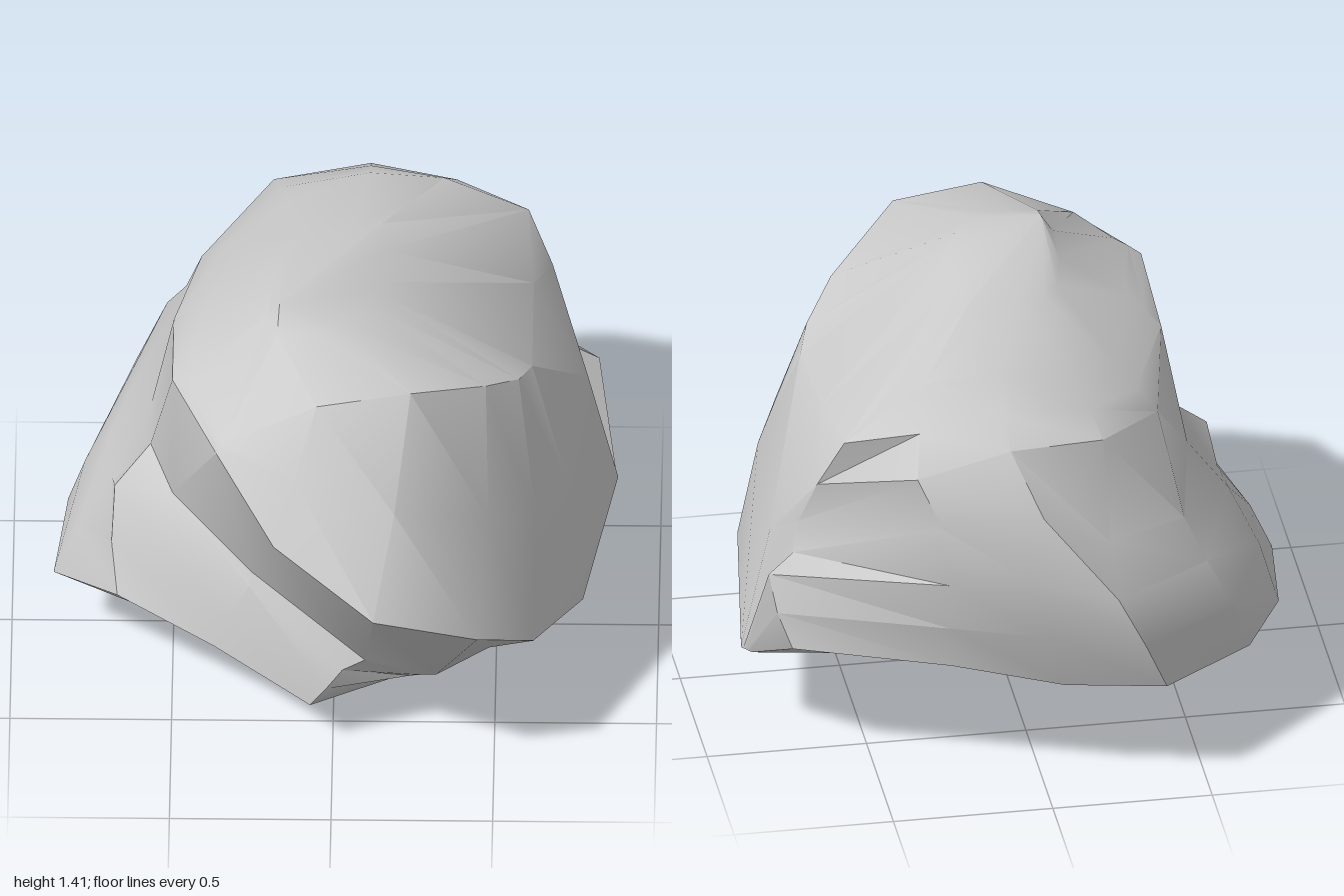
import * as THREE from 'three';
import { toCreasedNormals } from 'three/addons/utils/BufferGeometryUtils.js';

// Each loop runs from the front past +x, the back and -x, following a ridge or crease.
const crown = [
  [0.24, 1.32, 0.55], [0.47, 1.19, 0.34], [0.57, 1.11, 0.2], [0.61, 1.07, 0.08], [0.61, 1.1, -0.3],
  [0.59, 1.14, -0.62], [0.33, 1.3, -0.57], [0.1, 1.31, -0.58], [-0.15, 1.25, -0.52], [-0.3, 1.2, -0.36],
  [-0.4, 1.23, 0], [-0.42, 1.23, 0.36], [-0.34, 1.18, 0.63], [-0.05, 1.32, 0.62],
];
const upperRidge = [
  [0.13, 0.77, 1], [0.45, 0.6, 0.86], [0.62, 0.39, 0.59], [0.77, 0.33, 0.3], [0.87, 0.3, -0.36],
  [0.71, 0.8, -0.48], [0.39, 1.09, -0.8], [0.1, 1.17, -0.81], [-0.2, 1.15, -0.75], [-0.42, 1.07, -0.46],
  [-0.5, 1.14, -0.05], [-0.5, 1.19, 0.32], [-0.36, 1.15, 0.64], [-0.18, 0.94, 0.84],
];
const recess = [
  [0.1, 0.34, 0.63], [0.32, 0.27, 0.61], [0.48, 0.2, 0.38], [0.68, 0.25, 0.12], [0.865, 0.3, -0.37],
  [0.73, 0.7, -0.5], [0.32, 0.94, -0.86], [0.01, 0.97, -0.9], [-0.21, 0.83, -0.83], [-0.47, 0.8, -0.66],
  [-0.57, 0.76, -0.12], [-0.57, 0.77, 0.1], [-0.5, 0.71, 0.27], [-0.25, 0.57, 0.49],
];
const lowerRim = [
  [0.03, 0.3, 0.63], [0.27, 0.23, 0.56], [0.46, 0.17, 0.34], [0.66, 0.23, 0.1], [0.855, 0.3, -0.38],
  [0.81, 0.64, -0.52], [0.3, 0.74, -0.86], [0.05, 0.77, -0.94], [-0.21, 0.71, -0.985], [-0.53, 0.68, -0.73],
  [-0.69, 0.62, -0.18], [-0.69, 0.58, 0.03], [-0.68, 0.66, 0.17], [-0.26, 0.54, 0.52],
];
const base = [
  [-0.07, 0.17, 0.64], [0.21, 0.19, 0.51], [0.42, 0.12, 0.3], [0.63, 0.21, 0.06], [0.84, 0.3, -0.4],
  [0.75, 0.42, -0.61], [0.28, 0.41, -0.78], [-0.06, 0.36, -0.87], [-0.37, 0.36, -0.93], [-0.68, 0.31, -0.63],
  [-0.83, 0.26, -0.28], [-0.87, 0.25, 0.08], [-0.67, 0.37, 0.35], [-0.37, 0.29, 0.5],
];

// Loop halfway between two others, pushed outward more where they lie further apart.
const between = (a, b) => a.map((p, i) => {
  const q = b[i];
  const bulge = 1 + 0.06 * Math.hypot(p[0] - q[0], p[1] - q[1], p[2] - q[2]);
  return [(p[0] + q[0]) / 2 * bulge, (p[1] + q[1]) / 2, (p[2] + q[2]) / 2 * bulge];
});

// Skin of triangles over the loops, listed from top to bottom.
function skin(loops) {
  const positions = [];
  const triangle = (a, b, c) => {
    if (a !== b && b !== c && a !== c) positions.push(...a, ...b, ...c);
  };
  for (let i = 0; i < loops.length - 1; i++) {
    const up = loops[i], down = loops[i + 1], n = up.length;
    for (let j = 0; j < n; j++) {
      const k = (j + 1) % n;
      triangle(up[j], down[j], down[k]);
      triangle(up[j], down[k], up[k]);
    }
  }
  const geometry = new THREE.BufferGeometry();
  geometry.setAttribute('position', new THREE.Float32BufferAttribute(positions, 3));
  return toCreasedNormals(geometry, THREE.MathUtils.degToRad(36));
}

export function createModel() {
  const group = new THREE.Group();
  group.name = 'rock';

  // Shallow dome on top and shallow keel underneath, each closing on one point.
  const peak = [-0.17, 1.41, 0.22];
  const foot = [0.05, 0, 0.2];
  const dome = crown.map(([x, , z]) => [
    x * 0.34 - 0.06, 1.37 + 0.03 * x + 0.02 * z, z * 0.45 + 0.04,
  ]);
  const keel = base.map(([x, y, z]) => [(x + foot[0]) / 2, y * 0.35, (z + foot[2]) / 2]);

  const loops = [
    crown.map(() => peak), dome, crown, between(crown, upperRidge), upperRidge, recess,
    lowerRim, between(lowerRim, base), base, keel, base.map(() => foot),
  ];
  const material = new THREE.MeshStandardMaterial({ color: 0xcccccc, side: THREE.DoubleSide });
  const boulder = new THREE.Mesh(skin(loops), material);
  boulder.name = 'boulder';
  group.add(boulder);
  return group;
}
